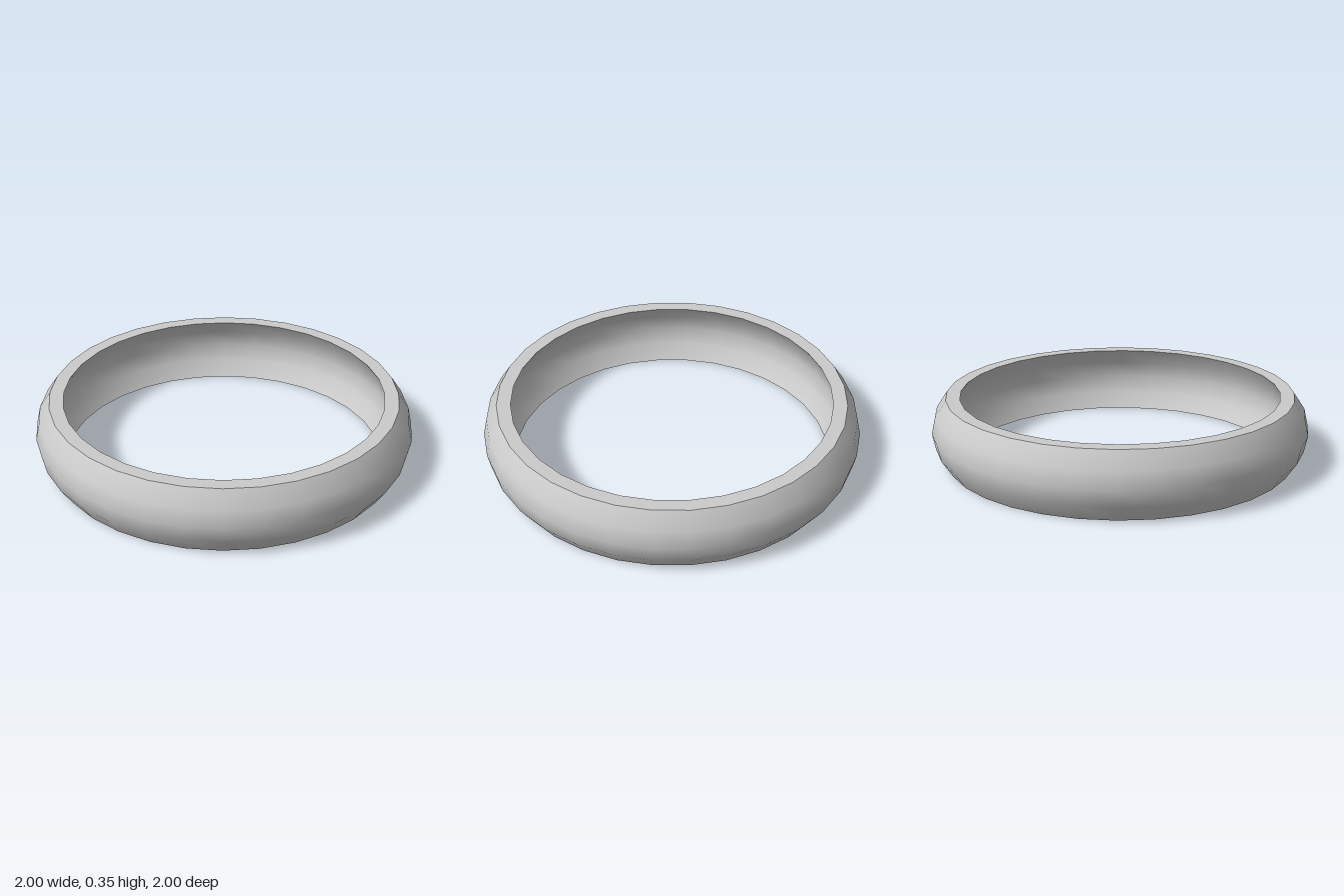
import * as THREE from 'three';

const HEIGHT = 0.355;
const SIDES = 32;

export function createModel() {
  const group = new THREE.Group();
  group.name = 'bangle';
  const material = new THREE.MeshStandardMaterial({ color: 0xcccccc });

  // Each surface is turned on its own so the rims keep sharp edges
  const addTurned = (name, profile) => {
    const points = profile.map(([r, y]) => new THREE.Vector2(r, y));
    const mesh = new THREE.Mesh(new THREE.LatheGeometry(points, SIDES), material);
    mesh.name = name;
    group.add(mesh);
  };

  // Rounded section of the band, from the bottom edge to the top edge
  const outer = [[0.922, 0], [0.98, 0.087], [1, HEIGHT / 2], [0.98, HEIGHT - 0.087], [0.922, HEIGHT]];
  const inner = [[0.848, 0], [0.905, 0.087], [0.925, HEIGHT / 2], [0.905, HEIGHT - 0.087], [0.848, HEIGHT]];

  addTurned('outerBand', outer);
  addTurned('topRim', [outer[4], inner[4]]);
  addTurned('innerBand', [...inner].reverse());
  addTurned('bottomRim', [inner[0], outer[0]]);
  return group;
}
